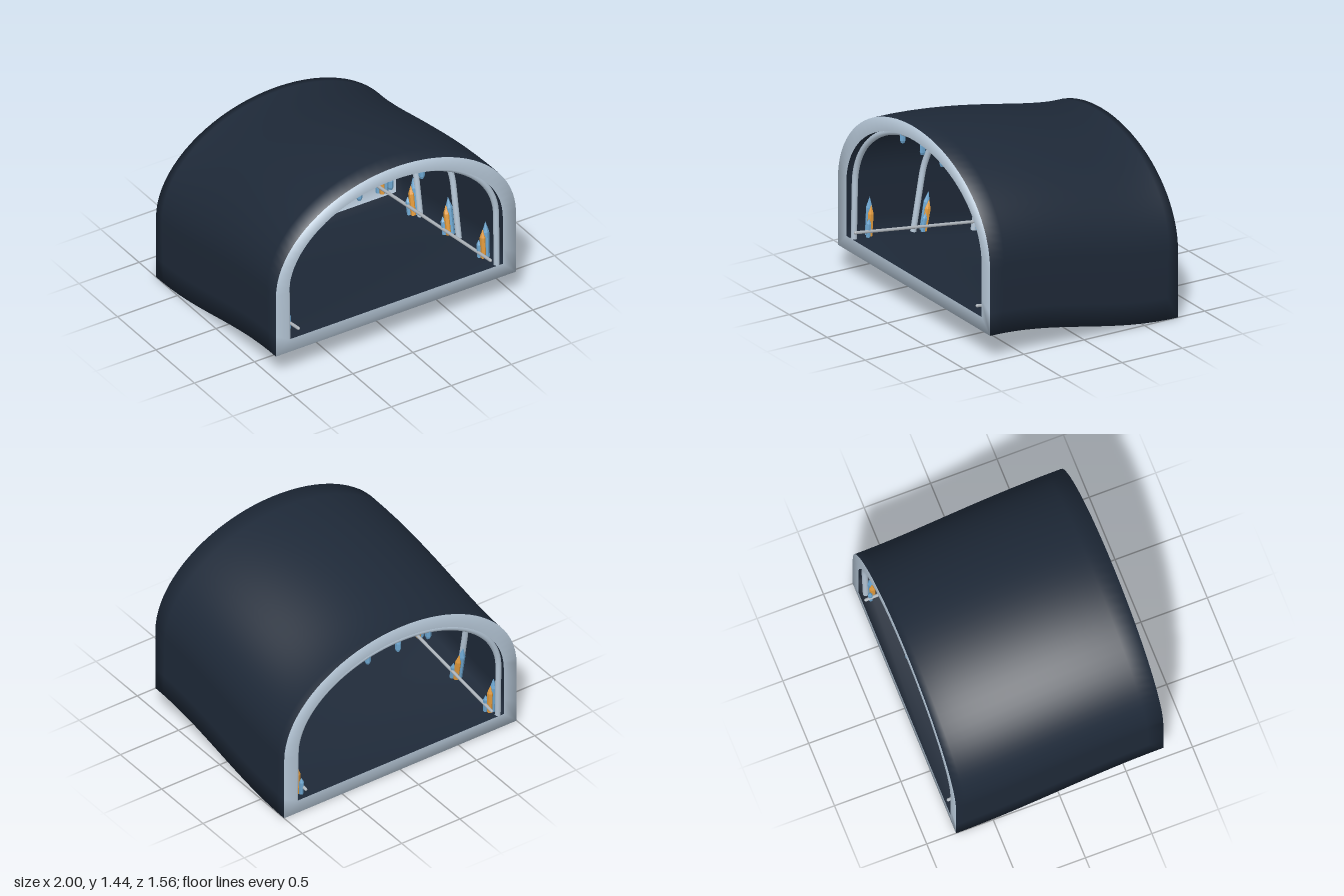
import * as THREE from 'three';

const HALF = 0.78;                 // half length along z
const SPRING = 0.5;                // height where the arch begins
const WAVE = Math.PI / (2 * HALF);
// The tunnel rises from back to front along an S-curve; sections stand square to it
const rise = z => 0.1 + 0.1 * Math.sin(WAVE * z);
const tilt = z => -Math.atan(0.1 * WAVE * Math.cos(WAVE * z));

const mat = (name, color, extra) => {
  const m = new THREE.MeshStandardMaterial({ color, ...extra });
  m.name = name;
  return m;
};

// Wall and arch points from the right foot over the top to the left foot
function archPoints(w, y0, top, wallSegs = 3, archSegs = 40) {
  const pts = [];
  for (let i = 0; i < wallSegs; i++) pts.push([w, y0 + (SPRING - y0) * i / wallSegs]);
  for (let i = 0; i <= archSegs; i++) {
    const a = Math.PI * i / archSegs;
    pts.push([w * Math.cos(a), SPRING + (top - SPRING) * Math.sin(a)]);
  }
  for (let i = wallSegs - 1; i >= 0; i--) pts.push([-w, y0 + (SPRING - y0) * i / wallSegs]);
  return pts;
}

// Closed skin swept along the S-curve, with a flat rim around each opening
function shellGeometry() {
  const outer = archPoints(1, 0, 1.24), inner = archPoints(0.89, 0.105, 1.135);
  const n = outer.length, rows = 16;
  const pos = [], body = [], rims = [];
  const addRing = (ring, z) => {
    const t = tilt(z);
    for (const [x, y] of ring) pos.push(x, rise(z) + y * Math.cos(t), z + y * Math.sin(t));
  };
  for (let k = 0; k <= rows; k++) addRing(outer, -HALF + 2 * HALF * k / rows);
  addRing(inner, -HALF);
  addRing(inner, HALF);
  const id = (ring, i) => ring * n + i % n;
  const quad = (list, a, b, c, d) => list.push(a, b, c, a, c, d);
  for (let i = 0; i < n; i++) {
    for (let k = 0; k < rows; k++) quad(body, id(k, i), id(k, i + 1), id(k + 1, i + 1), id(k + 1, i));
    quad(rims, id(rows, i), id(rows, i + 1), id(rows + 2, i + 1), id(rows + 2, i));
    quad(rims, id(0, i + 1), id(0, i), id(rows + 1, i), id(rows + 1, i + 1));
  }
  const g = new THREE.BufferGeometry();
  g.setAttribute('position', new THREE.Float32BufferAttribute(pos, 3));
  g.setIndex([...body, ...rims]);
  g.addGroup(0, body.length, 0);
  g.addGroup(body.length, rims.length, 1);
  g.computeVertexNormals();
  return g;
}

// Six-sided turned piece from a few profile points
const hexLathe = pts => new THREE.LatheGeometry(pts.map(p => new THREE.Vector2(...p)), 6);
const crystalGeometry = (r, h) => hexLathe([[0, 0], [r * 0.9, 0], [r, h * 0.72], [0, h]]);

export function createModel() {
  const model = new THREE.Group();
  model.name = 'tunnelSection';
  const navy = mat('darkNavy', 0x1e2938, { side: THREE.DoubleSide });
  const rim = mat('paleSteel', 0xb4c5d5, { side: THREE.DoubleSide });
  const steel = mat('railGrey', 0xadb4bb);
  const blue = mat('crystalBlue', 0x6ca5cf, { flatShading: true });
  const amber = mat('crystalAmber', 0xe29a3c, { flatShading: true });

  const add = (parent, name, geometry, material, x = 0, y = 0, z = 0) => {
    const mesh = new THREE.Mesh(geometry, material);
    mesh.name = name;
    mesh.position.set(x, y, z);
    parent.add(mesh);
  };
  // Group standing square to the S-curve at z
  const station = (name, z) => {
    const group = new THREE.Group();
    group.name = name;
    group.position.set(0, rise(z), z);
    group.rotation.x = tilt(z);
    model.add(group);
    return group;
  };

  add(model, 'tunnelShell', shellGeometry(), [navy, rim]);

  // Support ribs, each with a row of hanging crystals
  const ribPoints = archPoints(0.872, 0.08, 1.117).map(([x, y]) => new THREE.Vector3(x, y, 0));
  const ribGeometry = new THREE.TubeGeometry(new THREE.CatmullRomCurve3(ribPoints), 80, 0.022, 10);
  const pendant = hexLathe([[0, 0], [0.014, 0.004], [0.022, 0.024], [0.022, 0.075], [0.014, 0.098], [0, 0.1]]);
  for (const z of [0.73, 0.25, -0.25, -0.73]) {
    const bay = station('ribBay', z);
    add(bay, 'rib', ribGeometry, rim);
    for (const x of [-0.26, 0, 0.26]) add(bay, 'hangingCrystal', pendant, blue, x, 1.01);
  }

  // Crystal clusters along both walls
  const crystals = [
    { name: 'tallCrystal', m: blue, x: 0.855, dz: 0, g: crystalGeometry(0.025, 0.285) },
    { name: 'amberCrystal', m: amber, x: 0.83, dz: 0, g: crystalGeometry(0.023, 0.23) },
    { name: 'shortCrystal', m: blue, x: 0.81, dz: -0.025, g: crystalGeometry(0.018, 0.14) },
  ];
  for (const z of [0.63, 0.19, -0.27, -0.69]) {
    for (const side of [-1, 1]) {
      const cluster = station('crystalCluster', z);
      for (const c of crystals) add(cluster, c.name, c.g, c.m, side * c.x, 0.098, side * c.dz);
    }
  }

  // Straight handrails with rounded ends
  for (const side of [-1, 1]) {
    const ends = [-0.76, 0.76].map(z => new THREE.Vector3(side * 0.8, 0.155 + rise(z), z));
    add(model, 'handrail', new THREE.TubeGeometry(new THREE.LineCurve3(...ends), 1, 0.012, 8), steel);
    for (const e of ends) add(model, 'railEnd', new THREE.SphereGeometry(0.012, 8, 6), steel, e.x, e.y, e.z);
  }
  return model;
}
